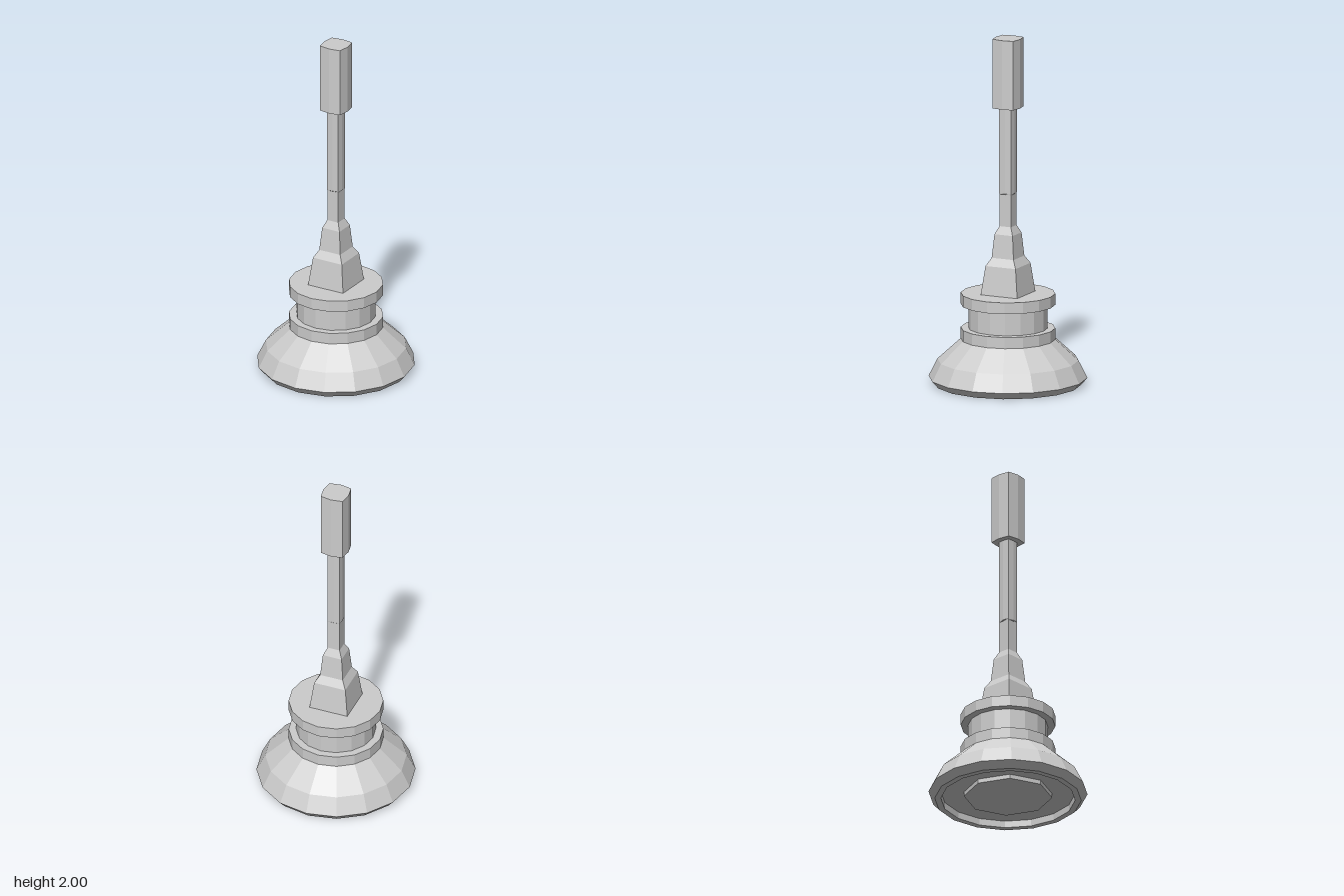
import * as THREE from 'three';

const grey = new THREE.MeshStandardMaterial({ color: 0xcccccc });
grey.name = 'plain grey';

// Faceted mesh: split the faces so each keeps its own flat normal
function facetedMesh(geometry, name) {
  const flat = geometry.index ? geometry.toNonIndexed() : geometry;
  flat.computeVertexNormals();
  const mesh = new THREE.Mesh(flat, grey);
  mesh.name = name;
  return mesh;
}

// Sixteen-sided turned part from a [radius, height] profile
function turned(profile, name) {
  const points = profile.map(([r, y]) => new THREE.Vector2(r, y));
  return facetedMesh(new THREE.LatheGeometry(points, 16), name);
}

// Eight-point ring: 'side' is the reach at mid-side, 'corner' the half width at the corners
function ring([y, side, corner]) {
  return Array.from({ length: 8 }, (_, k) => {
    const a = (k * Math.PI) / 4;
    const r = k % 2 ? corner * Math.SQRT2 : side;
    return [r * Math.cos(a), y, -r * Math.sin(a)];
  });
}

// Capped loft through [height, side, corner] sections
function loft(sections, name) {
  const rings = sections.map(ring);
  const last = rings.length - 1;
  const bottom = [0, sections[0][0], 0];
  const top = [0, sections[last][0], 0];
  const verts = [];
  for (let k = 0; k < 8; k++) {
    const n = (k + 1) % 8;
    for (let s = 0; s < last; s++) {
      const lo = rings[s], hi = rings[s + 1];
      verts.push(lo[k], lo[n], hi[n], lo[k], hi[n], hi[k]);
    }
    verts.push(bottom, rings[0][n], rings[0][k]);
    verts.push(top, rings[last][k], rings[last][n]);
  }
  const geometry = new THREE.BufferGeometry();
  geometry.setAttribute('position', new THREE.Float32BufferAttribute(verts.flat(), 3));
  return facetedMesh(geometry, name);
}

export function createModel() {
  const model = new THREE.Group();
  model.name = 'plungerStand';

  // Flared foot, hollowed underneath, then collar, neck and upper collar
  model.add(turned([
    [0, 0.04], [0.38, 0.04], [0.38, 0], [0.415, 0], [0.45, 0.04],
    [0.4, 0.14], [0.268, 0.26], [0, 0.26],
  ], 'foot'));
  model.add(turned([[0, 0.26], [0.268, 0.26], [0.268, 0.325], [0, 0.325]], 'lowerCollar'));
  model.add(turned([[0, 0.325], [0.225, 0.325], [0.225, 0.46], [0, 0.46]], 'neck'));
  model.add(turned([[0, 0.46], [0.268, 0.46], [0.268, 0.525], [0, 0.525]], 'upperCollar'));

  // Eight-sided boss in the hollow
  const boss = facetedMesh(new THREE.CylinderGeometry(0.25, 0.25, 0.03, 8), 'bottomBoss');
  boss.position.y = 0.03;
  model.add(boss);

  // Stepped square pedestal narrowing into the rod
  model.add(loft([
    [0.525, 0.115, 0.115], [0.69, 0.095, 0.095], [0.735, 0.069, 0.069],
    [0.87, 0.057, 0.057], [0.915, 0.036, 0.036],
  ], 'pedestal'));
  model.add(loft([
    [0.915, 0.036, 0.036], [1.1, 0.036, 0.036], [1.105, 0.041, 0.037], [1.6, 0.041, 0.037],
  ], 'rod'));

  // Grip with slightly bowed sides
  model.add(loft([[1.6, 0.077, 0.066], [2, 0.077, 0.066]], 'grip'));

  return model;
}
